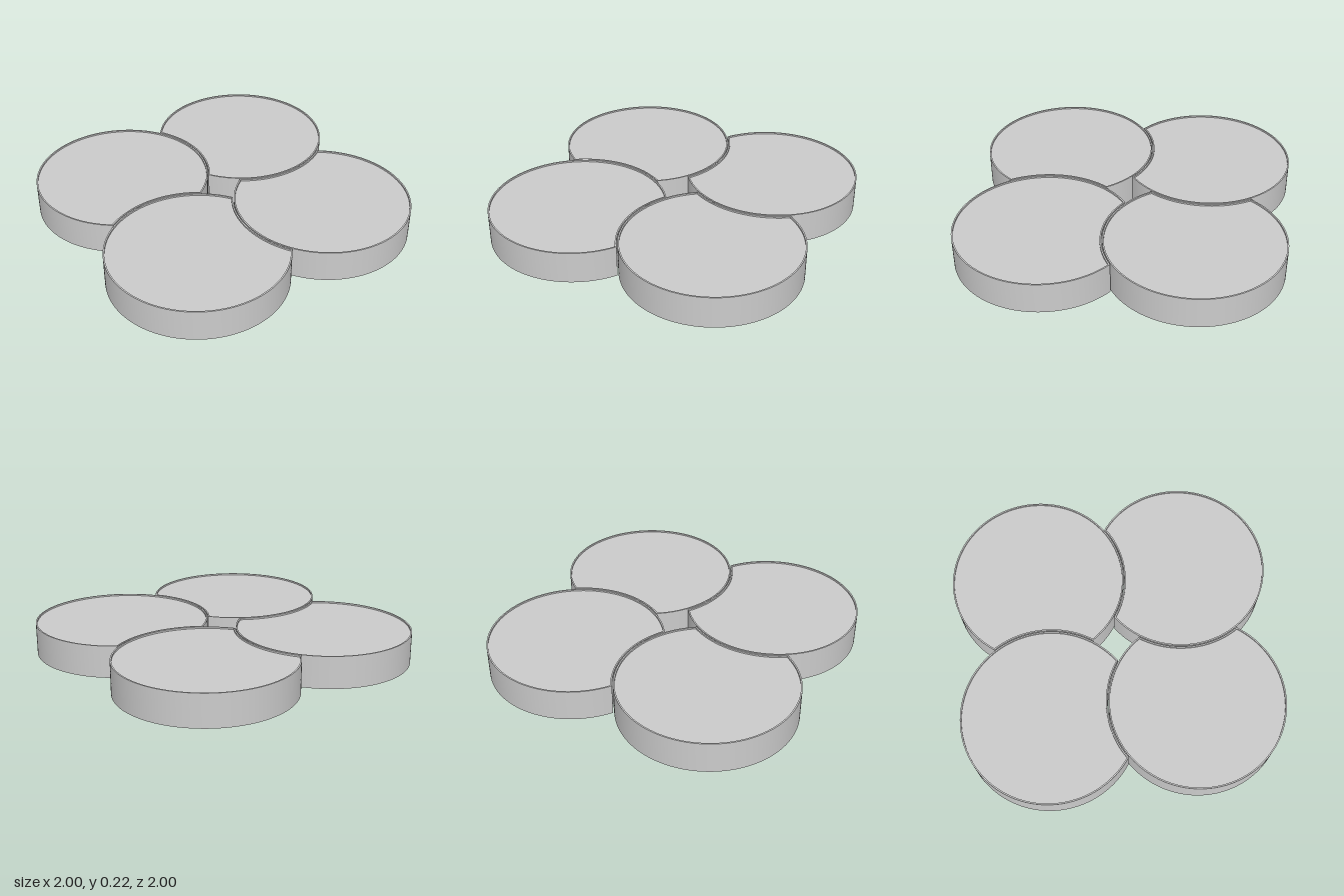
import * as THREE from 'three';
import { toCreasedNormals } from 'three/addons/utils/BufferGeometryUtils.js';

const OFFSET = 0.454; // disc centre distance from each axis
const RADIUS = 0.546;
const GAP = 0.006; // clearance between neighbouring trays
const FOOT = 0.015;
const TOP = 0.215;
const LIP_WIDTH = 0.009;
const LIP_HEIGHT = 0.01;

// Disc outline with a concave bite taken by the neighbouring disc
function outline(inset, target) {
  const r = RADIUS - inset;
  const bite = RADIUS + GAP + inset;
  const d = 2 * OFFSET;
  const h = (d * d + r * r - bite * bite) / (2 * d);
  const w = Math.acos(h / r);
  const v = Math.acos((d - h) / bite);
  target.absarc(-OFFSET, OFFSET, r, -Math.PI / 2 + w, 1.5 * Math.PI - w, false);
  target.absarc(-OFFSET, -OFFSET, bite, Math.PI / 2 + v, Math.PI / 2 - v, true);
  target.closePath();
  return target;
}

// Extrude a plan shape upwards from height y
function slab(shape, y, height) {
  const g = new THREE.ExtrudeGeometry(shape, { depth: height, bevelEnabled: false, curveSegments: 96 });
  g.rotateX(-Math.PI / 2);
  g.translate(0, y, 0);
  return toCreasedNormals(g, 0.5);
}

export function createModel() {
  const model = new THREE.Group();
  model.name = 'pinwheelTrays';
  const material = new THREE.MeshStandardMaterial({ color: 0xcccccc });

  const bodyGeometry = slab(outline(0, new THREE.Shape()), FOOT, TOP - FOOT - LIP_HEIGHT);
  const lipShape = outline(0, new THREE.Shape());
  lipShape.holes.push(outline(LIP_WIDTH, new THREE.Path()));
  const lipGeometry = slab(lipShape, TOP - LIP_HEIGHT, LIP_HEIGHT);
  const footGeometry = new THREE.CylinderGeometry(0.012, 0.012, FOOT, 20);

  // Four identical trays, each a quarter turn from the last
  for (let i = 0; i < 4; i++) {
    const tray = new THREE.Group();
    tray.name = `tray${i + 1}`;
    tray.rotation.y = (i * Math.PI) / 2;

    const body = new THREE.Mesh(bodyGeometry, material);
    body.name = 'trayBody';
    const lip = new THREE.Mesh(lipGeometry, material);
    lip.name = 'raisedLip';
    tray.add(body, lip);

    // Three small feet evenly spaced under the tray
    for (let k = 0; k < 3; k++) {
      const a = -Math.PI / 2 + (k * 2 * Math.PI) / 3;
      const foot = new THREE.Mesh(footGeometry, material);
      foot.name = 'foot';
      foot.position.set(-OFFSET + 0.42 * Math.cos(a), FOOT / 2, -OFFSET + 0.42 * Math.sin(a));
      tray.add(foot);
    }
    model.add(tray);
  }
  return model;
}
